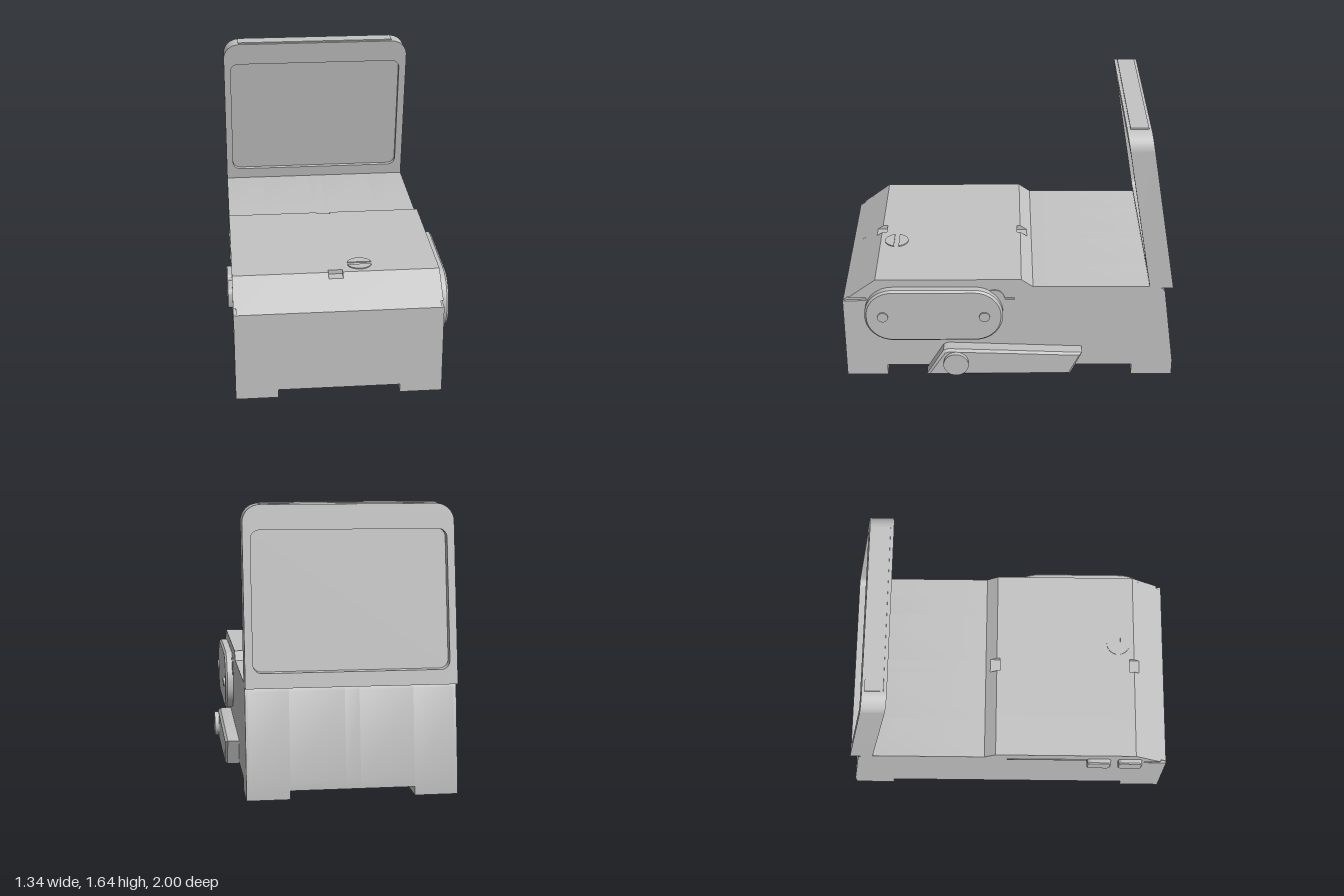
import * as THREE from 'three';
import { toCreasedNormals } from 'three/addons/utils/BufferGeometryUtils.js';

const metal = new THREE.MeshStandardMaterial({ color: 0xc4c4c4 });
metal.name = 'grey metal';

const LEFT = 0.555, RIGHT = -0.64; // side walls of the housing

function add(parent, name, geometry) {
  const mesh = new THREE.Mesh(geometry, metal);
  mesh.name = name;
  parent.add(mesh);
  return mesh;
}

// Outline from [z, y] points, to be extruded along x
function sideShape(points) {
  return new THREE.Shape(points.map(([z, y]) => new THREE.Vector2(-z, y)));
}

function extrudeX(shape, x0, x1, bevel = 0) {
  const geo = new THREE.ExtrudeGeometry(shape, {
    depth: x1 - x0 - 2 * bevel, curveSegments: 16, bevelEnabled: bevel > 0,
    bevelSize: bevel, bevelThickness: bevel, bevelOffset: -bevel, bevelSegments: 1,
  });
  geo.translate(0, 0, bevel);
  geo.rotateY(Math.PI / 2);
  geo.translate(x0, 0, 0);
  return toCreasedNormals(geo, 0.5);
}

// Rounded rectangle with separate radii for its lower and upper corners
function roundedRect(path, x0, y0, x1, y1, low, high = low) {
  path.moveTo(x0 + low, y0);
  path.lineTo(x1 - low, y0);
  if (low) path.absarc(x1 - low, y0 + low, low, -Math.PI / 2, 0);
  path.lineTo(x1, y1 - high);
  path.absarc(x1 - high, y1 - high, high, 0, Math.PI / 2);
  path.lineTo(x0 + high, y1);
  path.absarc(x0 + high, y1 - high, high, Math.PI / 2, Math.PI);
  path.lineTo(x0, y0 + low);
  if (low) path.absarc(x0 + low, y0 + low, low, Math.PI, Math.PI * 1.5);
  path.closePath();
  return path;
}

// Short cylinder pointing along x
function discX(radius, x0, x1, y, z) {
  const geo = new THREE.CylinderGeometry(radius, radius, x1 - x0, 32);
  geo.rotateZ(Math.PI / 2);
  geo.translate((x0 + x1) / 2, y, z);
  return geo;
}

// Housing cross-section: foot height, optional sight notches and side groove
function housingProfile(foot, notched, grooved) {
  const p = [[1, foot], [1, 0.54]];
  if (grooved) p.push([0.86, 0.545], [0.86, 0.565], [0.967, 0.565]);
  if (notched) {
    p.push([0.833, 0.665], [0.77, 0.665], [0.77, 0.69],
      [-0.05, 0.69], [-0.05, 0.66], [-0.112, 0.66]);
  } else p.push([0.8, 0.69], [-0.07, 0.69]);
  p.push([-0.14, 0.64], [-0.835, 0.64], [-0.915, 0.625], [-0.93, 0.6], [-1, 0.1],
    [-1, foot], [-0.75, foot], [-0.75, 0.072], [0.75, 0.072], [0.75, foot]);
  return sideShape(p.reverse());
}

// Extrudes in z, then leans the result back with the screen
function leaning(shape, front, back) {
  const geo = new THREE.ExtrudeGeometry(shape, { depth: front - back, bevelEnabled: false, curveSegments: 14 });
  const pos = geo.attributes.position;
  for (let i = 0; i < pos.count; i++) {
    pos.setZ(i, pos.getZ(i) + back + (pos.getY(i) - 0.64) * 0.1717);
  }
  geo.computeVertexNormals();
  return toCreasedNormals(geo, 0.5);
}

export function createModel() {
  const model = new THREE.Group();
  model.name = 'reflexSight';

  // Housing, built as slices across its width
  const housing = new THREE.Group();
  housing.name = 'housing';
  model.add(housing);
  const slices = [
    [RIGHT, RIGHT + 0.015, 0, false, true],
    [RIGHT + 0.015, -0.395, 0, false, false],
    [-0.395, -0.088, 0.05, false, false],
    [-0.088, -0.005, 0.05, true, false],
    [-0.005, 0.31, 0.05, false, false],
    [0.31, LEFT - 0.015, 0, false, false],
    [LEFT - 0.015, LEFT, 0, false, true],
  ];
  for (const [x0, x1, foot, notched, grooved] of slices) {
    add(housing, 'housingSlice', extrudeX(housingProfile(foot, notched, grooved), x0, x1));
  }

  // Slotted screw on the top: two half discs with a gap
  const screw = new THREE.Group();
  screw.name = 'topScrew';
  screw.position.set(0.1, 0.69, 0.7);
  model.add(screw);
  for (const turn of [0, Math.PI]) {
    const half = new THREE.Shape();
    half.absarc(0, 0, 0.072, 0.2, Math.PI - 0.2);
    const geo = new THREE.ExtrudeGeometry(half, { depth: 0.006, bevelEnabled: false, curveSegments: 20 });
    geo.rotateX(-Math.PI / 2);
    geo.rotateY(turn);
    add(screw, 'screwHalf', geo);
  }

  // Leaning window frame, lens and top strip
  const hood = new THREE.Group();
  hood.name = 'windowHood';
  model.add(hood);
  const frame = roundedRect(new THREE.Shape(), RIGHT, 0.627, LEFT, 1.63, 0, 0.1);
  frame.holes.push(roundedRect(new THREE.Path(), -0.597, 0.71, 0.51, 1.49, 0.05));
  add(hood, 'windowFrame', leaning(frame, -0.835, -0.975));
  const lens = roundedRect(new THREE.Shape(), -0.61, 0.7, 0.52, 1.5, 0.05);
  add(hood, 'lens', leaning(lens, -0.868, -0.925));
  const strip = add(hood, 'topStrip', new THREE.BoxGeometry(1, 0.012, 0.105));
  strip.position.set(-0.045, 1.631, -0.737);

  // Battery cover with two screws on the left wall
  const cover = new THREE.Group();
  cover.name = 'batteryCover';
  model.add(cover);
  const plate = roundedRect(new THREE.Shape(), -0.87, 0.285, -0.04, 0.64, 0.17);
  add(cover, 'coverPlate', extrudeX(plate, LEFT - 0.01, 0.606, 0.012));
  for (const z of [0.76, 0.15]) add(cover, 'coverScrew', discX(0.032, 0.6, 0.616, 0.46, z));
  add(cover, 'coverBoss', discX(0.06, LEFT - 0.01, 0.562, 0.56, 0.09));
  const tab = add(cover, 'coverTab', new THREE.BoxGeometry(0.012, 0.014, 0.1));
  tab.position.set(0.557, 0.557, 0.02);

  // Clamp lever with pivot
  const lever = new THREE.Group();
  lever.name = 'clampLever';
  model.add(lever);
  const arm = sideShape([[0.505, 0.055], [-0.37, 0.055], [-0.44, 0.21], [0.37, 0.24], [0.4, 0.23]]);
  add(lever, 'leverArm', extrudeX(arm, LEFT - 0.015, 0.638, 0.015));
  add(lever, 'leverPivot', discX(0.076, 0.62, 0.665, 0.148, 0.325));

  // Two push buttons and a ridge on the right wall
  for (const z of [0.575, 0.77]) {
    const button = roundedRect(new THREE.Shape(), -z - 0.075, 0.505, -z + 0.075, 0.62, 0.025);
    add(model, 'pushButton', extrudeX(button, -0.67, RIGHT + 0.01, 0.006));
  }
  const ridge = add(model, 'sideRidge', new THREE.BoxGeometry(0.008, 0.012, 0.5));
  ridge.position.set(RIGHT, 0.6, 0.25);

  return model;
}
